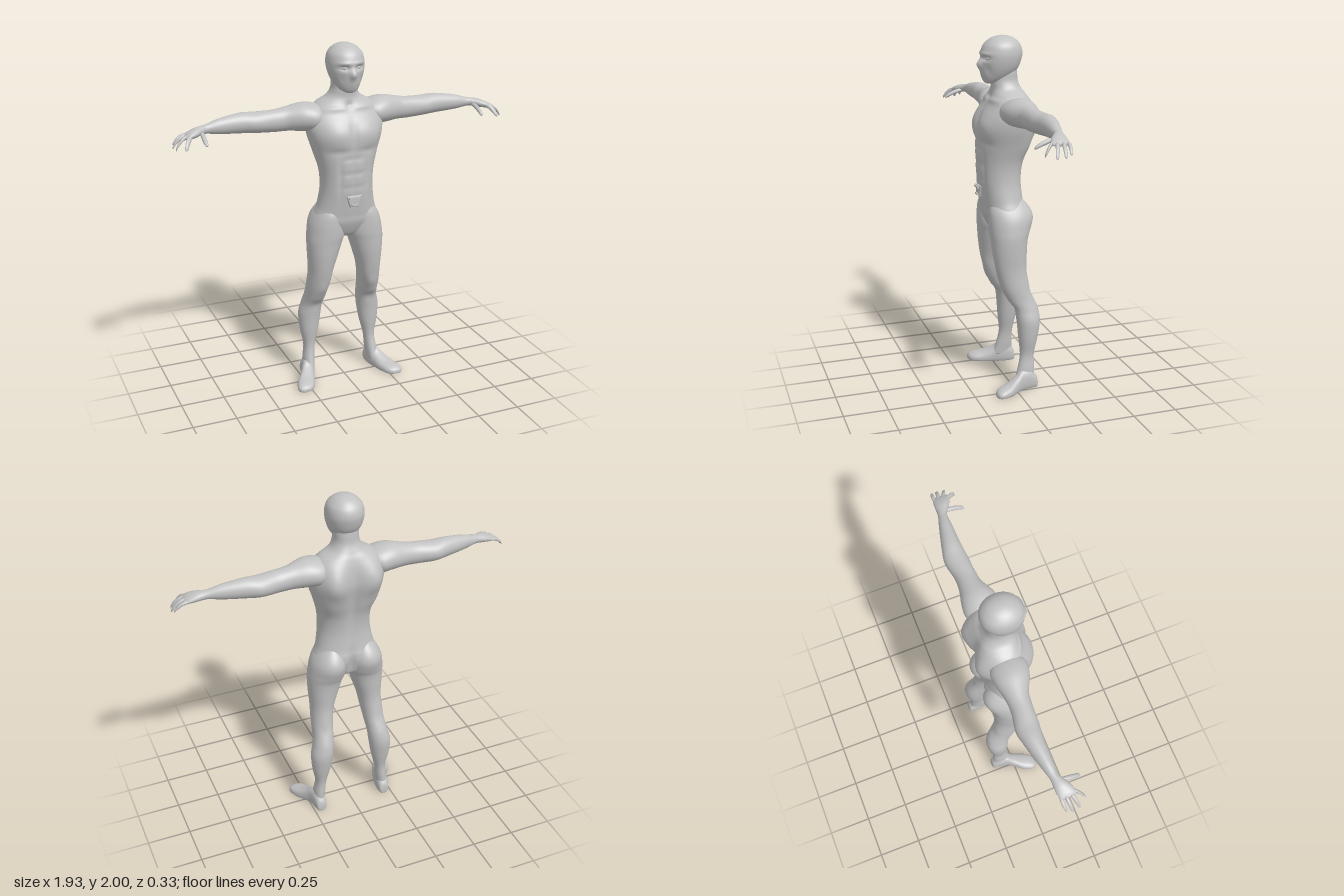
import * as THREE from 'three';

const skin = new THREE.MeshStandardMaterial({ color: 0xc2c2c2 });
skin.name = 'light grey';

// Catmull-Rom value between b and c
const spline = (a, b, c, d, t) =>
  0.5 * (2 * b + (c - a) * t + (2 * a - 5 * b + 4 * c - d) * t * t + (3 * b - a - 3 * c + d) * t * t * t);

// Smooth skin through sections [position, uMin, uMax, vMin, vMax] along an axis.
// Axis y: u = x, v = z.  Axis x: u = y, v = z.  Axis z: u = x, v = y.
function loft(axis, rows, { sides = 40, steps = 6, power = 2, bumps = [], mirror = 1, floor = false } = {}) {
  const pos = [], index = [], rings = [];
  const put = (s, u, v) => {
    let [x, y, z] = axis === 'y' ? [u, s, v] : axis === 'x' ? [s, u, v] : [u, v, s];
    if (floor) y = Math.max(0, y);
    pos.push(x * mirror, y, z);
  };
  const at = (i) => rows[Math.min(rows.length - 1, Math.max(0, i))];
  for (let i = 0; i < rows.length - 1; i++)
    for (let k = 0; k < steps; k++)
      rings.push(at(i).map((_, c) => spline(at(i - 1)[c], at(i)[c], at(i + 1)[c], at(i + 2)[c], k / steps)));
  rings.push(at(rows.length));
  const bend = (c) => Math.sign(c) * Math.abs(c) ** (2 / power);
  for (const [s, u0, u1, v0, v1] of rings)
    for (let j = 0; j < sides; j++) {
      const a = (j / sides) * Math.PI * 2;
      put(s, (u0 + u1) / 2 + ((u1 - u0) / 2) * bend(Math.cos(a)), (v0 + v1) / 2 + ((v1 - v0) / 2) * bend(Math.sin(a)));
    }
  for (let i = 0; i < rings.length - 1; i++)
    for (let j = 0; j < sides; j++) {
      const a = i * sides + j, b = i * sides + ((j + 1) % sides);
      index.push(a, b, a + sides, b, b + sides, a + sides);
    }
  // end caps
  const n = rings.length * sides;
  for (const r of [rings[0], rings[rings.length - 1]]) put(r[0], (r[1] + r[2]) / 2, (r[3] + r[4]) / 2);
  for (let j = 0; j < sides; j++) {
    const k = (j + 1) % sides;
    index.push(n, k, j, n + 1, n - sides + j, n - sides + k);
  }
  // turn faces outward according to the enclosed volume
  const p = (i) => new THREE.Vector3().fromArray(pos, i * 3);
  let volume = 0;
  for (let i = 0; i < index.length; i += 3)
    volume += p(index[i]).dot(p(index[i + 1]).cross(p(index[i + 2])));
  if (volume < 0) index.reverse();
  const geo = new THREE.BufferGeometry();
  geo.setAttribute('position', new THREE.Float32BufferAttribute(pos, 3));
  geo.setIndex(index);
  geo.computeVertexNormals();
  sculpt(geo, bumps);
  return geo;
}

// Push the surface along its normals by soft bumps [x, y, z, rx, ry, rz, height], mirrored in x
function sculpt(geo, bumps) {
  const p = geo.attributes.position, n = geo.attributes.normal;
  for (let i = 0; i < p.count; i++) {
    const x = p.getX(i), y = p.getY(i), z = p.getZ(i);
    let h = 0;
    for (const [bx, by, bz, rx, ry, rz, amp] of bumps)
      h += amp * Math.exp(-(((Math.abs(x) - bx) / rx) ** 2) - ((y - by) / ry) ** 2 - ((z - bz) / rz) ** 2);
    p.setXYZ(i, x + n.getX(i) * h, y + n.getY(i) * h, z + n.getZ(i) * h);
  }
  geo.computeVertexNormals();
}

export function createModel() {
  const model = new THREE.Group();
  const add = (name, geo, parent = model) => {
    const mesh = new THREE.Mesh(geo, skin);
    mesh.name = name;
    parent.add(mesh);
    return mesh;
  };

  // Torso with neck: [y, half width, back z, front z]
  const torso = [
    [0.905, 0.05, -0.05, 0.05], [0.93, 0.12, -0.08, 0.085], [1.0, 0.195, -0.105, 0.118],
    [1.05, 0.183, -0.108, 0.126], [1.1, 0.166, -0.098, 0.134], [1.2, 0.15, -0.09, 0.147],
    [1.3, 0.154, -0.1, 0.152], [1.4, 0.18, -0.128, 0.152], [1.5, 0.212, -0.148, 0.152],
    [1.57, 0.22, -0.146, 0.132], [1.63, 0.2, -0.136, 0.1], [1.675, 0.155, -0.12, 0.078],
    [1.71, 0.096, -0.1, 0.068], [1.75, 0.072, -0.082, 0.068], [1.8, 0.068, -0.076, 0.062], [1.85, 0.065, -0.07, 0.05],
  ].map(([y, w, b, f]) => [y, -w, w, b, f]);
  add('torso', loft('y', torso, {
    sides: 96, steps: 8, power: 2.25,
    bumps: [
      [0.09, 1.52, 0.14, 0.08, 0.07, 0.06, 0.013],   // chest muscles
      [0, 1.52, 0.15, 0.014, 0.09, 0.05, -0.009],
      [0.08, 1.425, 0.15, 0.07, 0.02, 0.06, -0.007],
      [0, 1.26, 0.15, 0.01, 0.15, 0.05, -0.005],     // abdomen grooves
      [0.075, 1.28, 0.14, 0.014, 0.12, 0.05, -0.006],
      [0.03, 1.385, 0.15, 0.04, 0.012, 0.05, -0.006],
      [0.03, 1.3, 0.15, 0.04, 0.012, 0.05, -0.005],
      [0.03, 1.22, 0.15, 0.04, 0.012, 0.05, -0.004],
      [0.11, 1.55, -0.14, 0.06, 0.09, 0.06, 0.036],  // shoulder blades
      [0.14, 1.4, -0.11, 0.06, 0.08, 0.06, 0.012],
      [0, 1.42, -0.14, 0.035, 0.25, 0.06, -0.02],    // spine
      [0, 1.0, -0.11, 0.02, 0.08, 0.05, -0.02],
      [0.09, 1.655, 0.09, 0.08, 0.014, 0.05, 0.007], // collar bones
      [0, 1.67, 0.085, 0.02, 0.02, 0.04, -0.01],
    ],
  }));

  // Head: [y, half width, back z, front z]
  const head = new THREE.Group();
  head.name = 'head';
  model.add(head);
  const skull = [
    [1.742, 0.022, 0.06, 0.098], [1.755, 0.047, 0.01, 0.112], [1.785, 0.071, -0.045, 0.122],
    [1.825, 0.09, -0.082, 0.128], [1.87, 0.101, -0.1, 0.129], [1.91, 0.102, -0.106, 0.126],
    [1.95, 0.092, -0.094, 0.11], [1.98, 0.064, -0.066, 0.078], [1.995, 0.033, -0.034, 0.042], [2.0, 0.006, -0.004, 0.012],
  ].map(([y, w, b, f]) => [y, -w, w, b, f]);
  add('maskedHead', loft('y', skull, {
    sides: 96, steps: 9, power: 2.1,
    bumps: [
      [0, 1.848, 0.13, 0.018, 0.026, 0.04, 0.021],    // nose under the mask
      [0, 1.8, 0.125, 0.015, 0.05, 0.04, 0.006],
      [0.042, 1.88, 0.12, 0.028, 0.013, 0.05, -0.013], // eye sockets
      [0.04, 1.905, 0.12, 0.04, 0.01, 0.05, 0.005],    // brow
      [0.055, 1.82, 0.1, 0.02, 0.035, 0.05, -0.005],
    ],
  }), head);
  for (const s of [1, -1]) {
    const eye = add('eye', new THREE.SphereGeometry(0.016, 20, 12), head);
    eye.scale.set(1.1, 0.6, 0.7);
    eye.position.set(0.042 * s, 1.88, 0.101);
    eye.rotation.y = 0.35 * s;
    const lid = add('eyelid', new THREE.TorusGeometry(0.018, 0.003, 8, 28), head);
    lid.scale.set(1.15, 0.5, 1);
    lid.position.set(0.042 * s, 1.88, 0.108);
    lid.rotation.set(0, 0.4 * s, 0.15 * s);
  }

  // Belt buckle: tapered plate with two raised bars
  const buckle = new THREE.Group();
  buckle.name = 'buckle';
  buckle.position.set(0, 1.14, 0.132);
  model.add(buckle);
  const plate = new THREE.Shape([[-0.038, 0.028], [-0.02, -0.025], [0.02, -0.025], [0.038, 0.028]].map((p) => new THREE.Vector2(...p)));
  add('bucklePlate', new THREE.ExtrudeGeometry(plate, { depth: 0.014, bevelThickness: 0.006, bevelSize: 0.006, bevelSegments: 3 }), buckle);
  for (const [y, w] of [[0.022, 0.066], [-0.018, 0.036]])
    add('buckleBar', new THREE.BoxGeometry(w, 0.01, 0.012), buckle).position.set(0, y, 0.023);

  for (const s of [1, -1]) {
    const side = s > 0 ? 'left' : 'right';

    // Leg: [y, inner x, outer x, back z, front z]
    add(side + 'Leg', loft('y', [
      [1.12, 0.05, 0.13, -0.06, 0.08], [1.06, 0.025, 0.178, -0.105, 0.112], [1.0, 0.01, 0.208, -0.122, 0.119],
      [0.93, 0.008, 0.222, -0.112, 0.118], [0.88, 0.024, 0.226, -0.098, 0.113], [0.8, 0.05, 0.223, -0.09, 0.105],
      [0.7, 0.08, 0.217, -0.086, 0.088], [0.6, 0.097, 0.221, -0.103, 0.058], [0.53, 0.106, 0.224, -0.128, 0.028],
      [0.47, 0.113, 0.234, -0.148, -0.008], [0.4, 0.12, 0.25, -0.155, -0.022], [0.3, 0.136, 0.244, -0.14, -0.03],
      [0.2, 0.16, 0.226, -0.12, -0.038], [0.12, 0.168, 0.234, -0.12, -0.022], [0.05, 0.176, 0.238, -0.12, 0.0],
    ], {
      sides: 56, mirror: s, power: 2.1,
      bumps: [
        [0.1, 1.0, -0.12, 0.08, 0.07, 0.06, 0.014],   // buttock
        [0.15, 0.6, 0.05, 0.03, 0.04, 0.05, 0.007],   // knee
        [0.12, 0.66, 0.05, 0.025, 0.05, 0.05, 0.006],
        [0.165, 0.47, 0.0, 0.03, 0.03, 0.03, -0.006],
        [0.18, 0.57, -0.12, 0.03, 0.05, 0.04, -0.006],
      ],
    }));

    // Foot: [z, inner x, outer x, bottom y, top y], flat on the ground
    add(side + 'Foot', loft('z', [
      [-0.137, 0.192, 0.222, 0.008, 0.035], [-0.128, 0.178, 0.236, -0.01, 0.07], [-0.09, 0.172, 0.245, -0.02, 0.11],
      [-0.04, 0.177, 0.256, -0.02, 0.112], [0.0, 0.19, 0.28, -0.02, 0.082], [0.05, 0.207, 0.315, -0.02, 0.056],
      [0.1, 0.228, 0.33, -0.016, 0.042], [0.125, 0.25, 0.322, -0.008, 0.03], [0.134, 0.272, 0.303, 0.002, 0.016],
    ], { mirror: s, power: 2.3, floor: true }));

    // Arm and palm: [x, bottom y, top y, back z, front z]
    const arm = new THREE.Group();
    arm.name = side + 'Arm';
    model.add(arm);
    add('arm', loft('x', [
      [0.11, 1.58, 1.655, -0.08, 0.04], [0.17, 1.53, 1.677, -0.12, 0.078], [0.24, 1.53, 1.685, -0.118, 0.07],
      [0.32, 1.535, 1.67, -0.1, 0.036], [0.4, 1.535, 1.655, -0.096, 0.02], [0.5, 1.538, 1.652, -0.113, 0.015],
      [0.58, 1.545, 1.656, -0.1, 0.006], [0.7, 1.556, 1.64, -0.07, 0.004], [0.77, 1.568, 1.621, -0.05, 0.002],
      [0.8, 1.566, 1.616, -0.045, 0.015], [0.84, 1.56, 1.61, -0.044, 0.04], [0.88, 1.558, 1.594, -0.04, 0.054],
      [0.902, 1.562, 1.578, -0.032, 0.046],
    ], {
      sides: 44, mirror: s,
      bumps: [
        [0.34, 1.6, 0.03, 0.03, 0.06, 0.06, -0.004],
        [0.43, 1.65, 0.0, 0.07, 0.03, 0.05, 0.005],
        [0.82, 1.56, 0.0, 0.04, 0.02, 0.02, -0.005],
      ],
    }), arm);

    // Fingers: base, middle and tip as [x, y, z], with radius
    const finger = (name, axis, pts, r) => add(name, loft(axis,
      [[0, 0.8], [0.35, 1], [0.7, 0.95], [0.94, 0.7], [1, 0.2]].map(([t, k]) => {
        const [x, y, z] = [0, 1, 2].map((c) => (1 - t) ** 2 * pts[0][c] + 2 * t * (1 - t) * pts[1][c] + t * t * pts[2][c]);
        const q = r * k;
        return axis === 'x' ? [x, y - q, y + q, z - q, z + q] : [z, x - q, x + q, y - q, y + q];
      }), { sides: 16, steps: 4, mirror: s }), arm);
    finger('littleFinger', 'x', [[0.87, 1.576, -0.03], [0.925, 1.578, -0.032], [0.957, 1.53, -0.022]], 0.0095);
    finger('ringFinger', 'x', [[0.87, 1.578, -0.005], [0.93, 1.58, 0.0], [0.965, 1.518, 0.008]], 0.0105);
    finger('middleFinger', 'x', [[0.87, 1.578, 0.02], [0.93, 1.578, 0.036], [0.958, 1.514, 0.05]], 0.0105);
    finger('indexFinger', 'z', [[0.868, 1.576, 0.036], [0.895, 1.576, 0.065], [0.914, 1.522, 0.096]], 0.0125);
    finger('thumb', 'z', [[0.805, 1.582, 0.0], [0.812, 1.572, 0.06], [0.808, 1.54, 0.11]], 0.0125);
  }
  return model;
}
